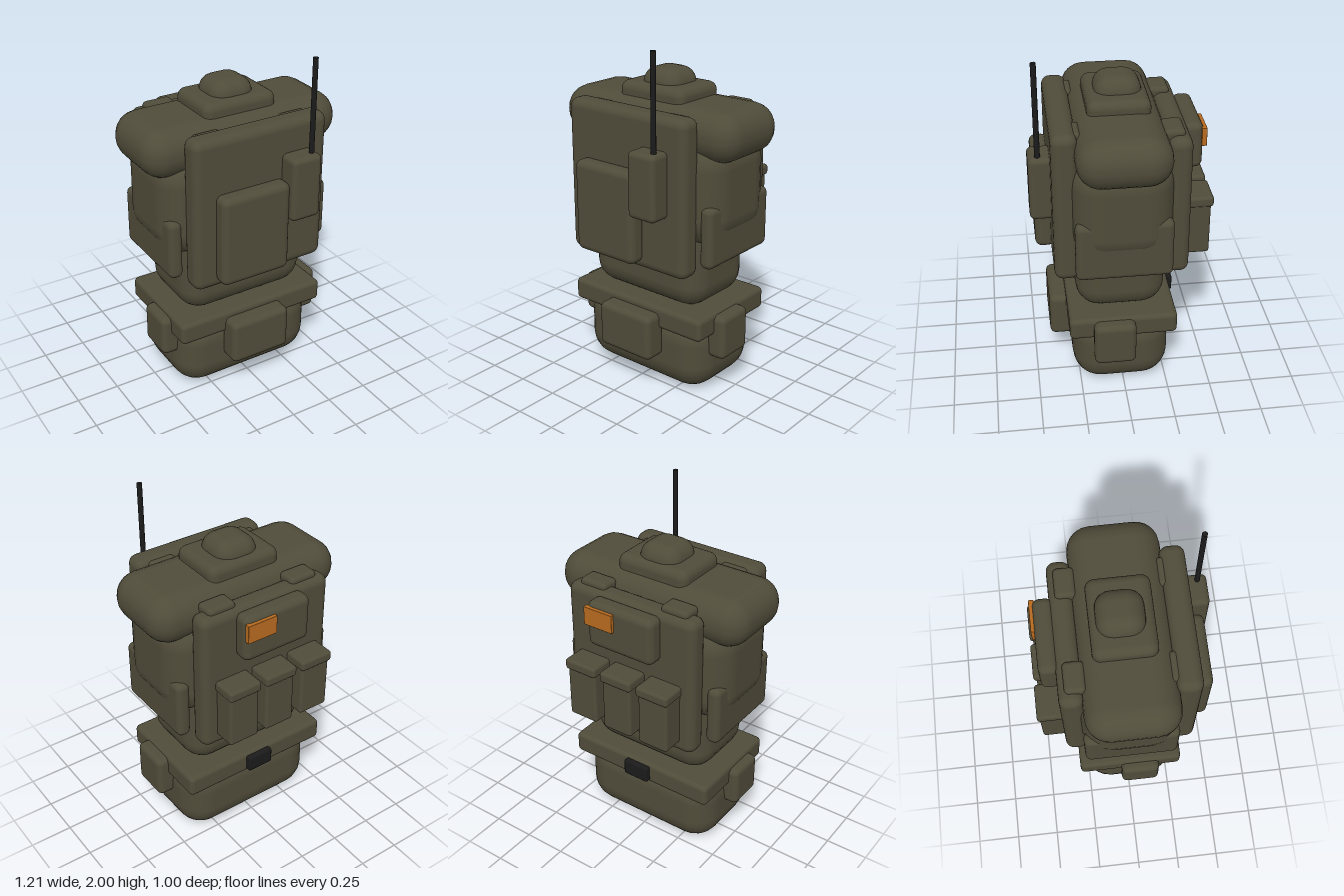
import * as THREE from 'three';
import { RoundedBoxGeometry } from 'three/addons/geometries/RoundedBoxGeometry.js';

export function createModel() {
  const model = new THREE.Group();
  model.name = 'tacticalTorso';

  const material = (name, color) => {
    const m = new THREE.MeshStandardMaterial({ color });
    m.name = name;
    return m;
  };
  const olive = material('olive fabric', 0x504c3a);
  const black = material('black plastic', 0x1b1b1b);
  const orange = material('orange patch', 0xb86b20);

  // Rounded block spanning the given [min, max] ranges
  const block = (name, x, y, z, radius, mat = olive, segments = 3) => {
    const [w, h, d] = [x, y, z].map(([a, b]) => b - a);
    const mesh = new THREE.Mesh(new RoundedBoxGeometry(w, h, d, segments, radius), mat);
    mesh.position.set((x[0] + x[1]) / 2, (y[0] + y[1]) / 2, (z[0] + z[1]) / 2);
    mesh.name = name;
    model.add(mesh);
    return mesh;
  };

  // Body
  block('pelvis', [-0.445, 0.445], [0, 0.46], [-0.27, 0.29], 0.165);
  block('abdomen', [-0.4, 0.4], [0.505, 1.1], [-0.245, 0.265], 0.14);
  block('chest', [-0.525, 0.525], [0.9, 1.51], [-0.27, 0.29], 0.17);
  block('shoulders', [-0.605, 0.605], [1.385, 1.665], [-0.245, 0.265], 0.135);
  block('collar', [-0.225, 0.225], [1.6, 1.735], [-0.17, 0.175], 0.05);
  block('neck', [-0.13, 0.13], [1.56, 1.815], [-0.12, 0.14].map((v) => v - 0.015), 0.09);

  // Vest plates, side panels and shoulder straps
  block('frontPlate', [-0.415, 0.415], [0.755, 1.645], [0.245, 0.385], 0.05);
  block('backPlate', [-0.415, 0.415], [0.755, 1.59], [-0.365, -0.235], 0.05);
  for (const side of [-1, 1]) {
    const span = (a, b) => (side > 0 ? [a, b] : [-b, -a]);
    const label = side > 0 ? 'left' : 'right';
    block(label + 'SidePanel', span(0.427, 0.51), [0.81, 1.16], [-0.26, 0.275], 0.035);
    block(label + 'FrontStrap', span(0.185, 0.352), [1.5, 1.63], [0.22, 0.335], 0.025);
    block(label + 'BackStrap', span(0.18, 0.352), [1.5, 1.62], [-0.33, -0.215], 0.025);
  }

  // Front pouch, radio and antenna
  block('frontPouch', [-0.295, 0.13], [0.8, 1.33], [0.365, 0.475], 0.04);
  block('radio', [0.12, 0.305], [1.095, 1.467], [0.365, 0.502], 0.03);
  const antenna = new THREE.Mesh(new THREE.CylinderGeometry(0.015, 0.015, 0.58, 10), black);
  antenna.position.set(0.265, 1.71, 0.448);
  antenna.name = 'antenna';
  model.add(antenna);

  // Back pouches with flaps
  for (const x of [-0.242, 0, 0.238]) {
    block('magazinePouch', [x - 0.094, x + 0.094], [0.828, 1.17], [-0.49, -0.35], 0.018);
    block('magazineFlap', [x - 0.103, x + 0.103], [1.13, 1.193], [-0.503, -0.35], 0.018);
  }
  block('utilityPouch', [-0.215, 0.212], [1.305, 1.577], [-0.456, -0.345], 0.04);
  block('patch', [0.025, 0.21], [1.443, 1.55], [-0.474, -0.445], 0.003, orange, 1);

  // Belt with its pouches and buckle
  block('belt', [-0.47, 0.47], [0.38, 0.512], [-0.3, 0.315], 0.028);
  block('beltFrontPouch', [-0.19, 0.185], [0.205, 0.475], [0.27, 0.412], 0.035);
  block('leftHipPouch', [0.415, 0.535], [0.235, 0.498], [-0.058, 0.18], 0.035);
  block('rightHipPouch', [-0.524, -0.405], [0.245, 0.488], [-0.05, 0.18], 0.035);
  block('buckle', [-0.082, 0.082], [0.402, 0.495], [-0.332, -0.28], 0.008, black, 1);

  return model;
}
